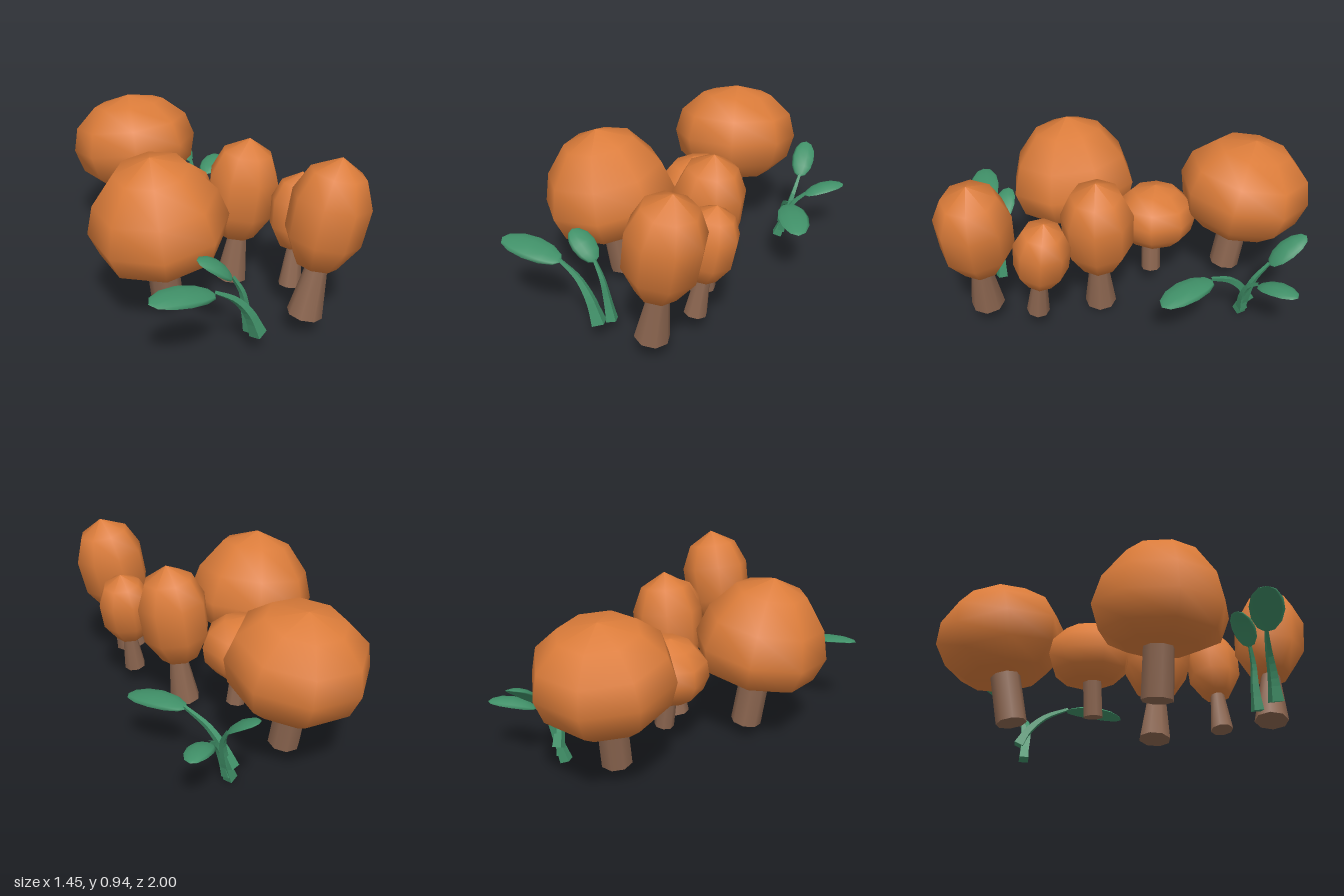
import * as THREE from 'three';

const orange = new THREE.MeshStandardMaterial({ color: 0xdb7c3a });
orange.name = 'capOrange';
const brown = new THREE.MeshStandardMaterial({ color: 0x8c6650 });
brown.name = 'stemBrown';
const green = new THREE.MeshStandardMaterial({ color: 0x409068 });
green.name = 'leafGreen';

const UP = new THREE.Vector3(0, 1, 0);
const vec = (p) => new THREE.Vector3(...p);

// Cap outlines from bottom to apex: [share of radius, share of height]
const broad = [[0, 0], [0.6, 0.02], [0.9, 0.2], [1, 0.45], [0.9, 0.7], [0.56, 0.91], [0, 1]];
const domed = [[0, 0], [0.55, 0.01], [0.88, 0.11], [1, 0.34], [0.87, 0.61], [0.53, 0.88], [0, 1]];
const tall = [[0, 0], [0.55, 0.01], [0.97, 0.27], [1, 0.62], [0.7, 0.86], [0, 1]];

// Leaning stem with an eight-sided rounded cap; base and apex give the axis
function mushroom({ name, base, apex, radius, height, outline, stem, spin, shift }) {
  const g = new THREE.Group();
  g.name = name;
  const axis = vec(apex).sub(vec(base));
  const length = axis.length();
  const start = length - height;

  const points = outline.map(([r, h]) => new THREE.Vector2(r * radius, start + h * height));
  const cap = new THREE.Mesh(new THREE.LatheGeometry(points, 8), orange);
  cap.rotation.y = spin;
  cap.position.set(shift[0], 0, shift[1]);
  cap.name = 'cap';

  const stemLength = start + 0.05;
  const stalk = new THREE.Mesh(new THREE.CylinderGeometry(stem[1], stem[0], stemLength, 8), brown);
  stalk.rotation.y = spin;
  stalk.position.y = stemLength / 2;
  stalk.name = 'stem';

  g.add(cap, stalk);
  g.quaternion.setFromUnitVectors(UP, axis.normalize());
  g.position.set(...base);
  return g;
}

// Four-sided stalk that tapers along a curve, closed at its foot
function stalkGeometry(curve, foot, tip) {
  const segments = 10, sides = 4;
  const geo = new THREE.TubeGeometry(curve, segments, 1, sides);
  const pos = geo.attributes.position;
  const v = new THREE.Vector3();
  for (let i = 0; i <= segments; i++) {
    const centre = curve.getPointAt(i / segments);
    const t = i <= 1 ? 0 : i / segments;
    const r = i === 0 ? 0 : foot + (tip - foot) * Math.pow(t, 0.7);
    for (let j = 0; j <= sides; j++) {
      const k = i * (sides + 1) + j;
      v.fromBufferAttribute(pos, k).sub(centre).multiplyScalar(r);
      v.add(i === 1 ? curve.getPointAt(0) : centre);
      pos.setXYZ(k, v.x, v.y, v.z);
    }
  }
  const flat = geo.toNonIndexed();
  flat.computeVertexNormals();
  return flat;
}

// Oval blade, arched over its length and slightly drooping at the sides
function bladeGeometry(length, width) {
  const geo = new THREE.SphereGeometry(0.5, 10, 6);
  geo.rotateX(Math.PI / 2);
  geo.scale(width, 0.03, length);
  const pos = geo.attributes.position;
  for (let i = 0; i < pos.count; i++) {
    const s = pos.getZ(i) / (length / 2);
    const w = pos.getX(i) / (width / 2);
    pos.setY(i, pos.getY(i) + 0.024 * (0.5 - s * s) - 0.012 * w * w);
  }
  geo.computeVertexNormals();
  return geo;
}

function leaf({ name, path, tip, width, foot, roll }) {
  const g = new THREE.Group();
  g.name = name;
  const points = path.map(vec);
  const stalk = new THREE.Mesh(
    stalkGeometry(new THREE.CatmullRomCurve3(points), foot, 0.01), green);
  stalk.name = 'stalk';

  const start = points[points.length - 1], end = vec(tip);
  const blade = new THREE.Mesh(bladeGeometry(start.distanceTo(end) + 0.02, width), green);
  blade.position.copy(start).lerp(end, 0.5);
  blade.lookAt(end);
  blade.rotateZ(roll);
  blade.name = 'blade';
  g.add(stalk, blade);
  return g;
}

const mushrooms = [
  { name: 'broadMushroomBack', base: [-0.33, 0.105, -0.525], apex: [-0.42, 0.875, -0.63],
    radius: 0.357, height: 0.52, outline: broad, stem: [0.082, 0.08], spin: 0.03, shift: [0.02, -0.005] },
  { name: 'broadMushroomFront', base: [-0.225, 0.075, 0.315], apex: [-0.31, 0.9, 0.41],
    radius: 0.355, height: 0.57, outline: domed, stem: [0.083, 0.08], spin: 0.03, shift: [0.01, 0] },
  { name: 'smallBroadMushroom', base: [-0.125, 0.12, -0.145], apex: [-0.19, 0.63, -0.12],
    radius: 0.224, height: 0.33, outline: broad, stem: [0.053, 0.05], spin: 0.2, shift: [0.005, -0.02] },
  { name: 'tallMushroomMiddle', base: [0.14, 0.035, 0.065], apex: [0.245, 0.845, 0.05],
    radius: 0.19, height: 0.55, outline: tall, stem: [0.085, 0.043], spin: 0.28, shift: [-0.014, 0.003] },
  { name: 'tallMushroomSmall', base: [0.42, 0.12, 0.32], apex: [0.485, 0.725, 0.235],
    radius: 0.146, height: 0.4, outline: tall, stem: [0.061, 0.033], spin: 0.35, shift: [-0.007, 0] },
  { name: 'tallMushroomFront', base: [0.443, 0.12, 0.603], apex: [0.6, 0.935, 0.57],
    radius: 0.195, height: 0.555, outline: tall, stem: [0.09, 0.045], spin: 0.36, shift: [-0.012, 0.003] },
];

const leaves = [
  { name: 'frontLeafLong', path: [[0.19, 0.11, 0.745], [0.14, 0.24, 0.76], [0.07, 0.33, 0.78], [-0.03, 0.4, 0.82]],
    tip: [-0.32, 0.455, 0.97], width: 0.17, foot: 0.044, roll: -0.15 },
  { name: 'frontLeafShort', path: [[0.165, 0.075, 0.655], [0.14, 0.19, 0.66], [0.12, 0.3, 0.67], [0.07, 0.395, 0.68]],
    tip: [-0.085, 0.505, 0.7], width: 0.13, foot: 0.036, roll: -0.2 },
  { name: 'backLeafUpright', path: [[-0.045, 0.01, -0.68], [-0.015, 0.13, -0.71], [0, 0.27, -0.75], [-0.02, 0.38, -0.82]],
    tip: [-0.125, 0.515, -0.97], width: 0.13, foot: 0.036, roll: 0.15 },
  { name: 'backLeafLow', path: [[-0.03, 0.04, -0.695], [0, 0.15, -0.7], [0.03, 0.24, -0.73], [0.07, 0.3, -0.79]],
    tip: [0.165, 0.345, -0.99], width: 0.13, foot: 0.032, roll: 0 },
  { name: 'backLeafLong', path: [[-0.05, 0.1, -0.72], [-0.01, 0.19, -0.69], [0.06, 0.28, -0.63], [0.17, 0.35, -0.55]],
    tip: [0.435, 0.34, -0.37], width: 0.17, foot: 0.036, roll: 0 },
];

export function createModel() {
  const model = new THREE.Group();
  model.name = 'mushroomCluster';
  mushrooms.forEach((m) => model.add(mushroom(m)));
  leaves.forEach((l) => model.add(leaf(l)));
  return model;
}
